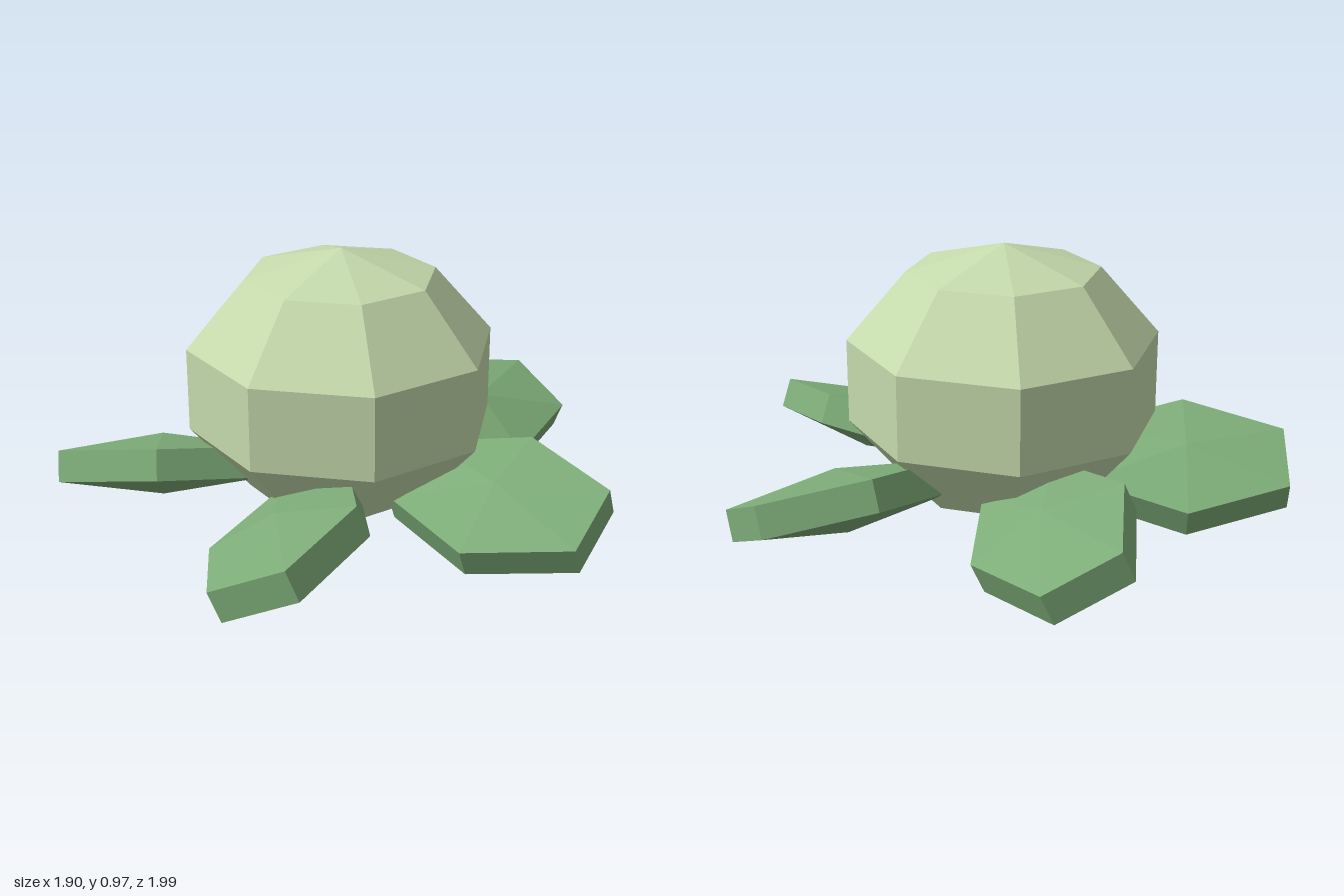
import * as THREE from 'three';

const CENTER_X = -0.055;
const LEAF_COUNT = 5;

export function createModel() {
  const model = new THREE.Group();
  model.name = 'plant';

  const headMaterial = new THREE.MeshStandardMaterial({ color: 0xc5daac, flatShading: true });
  const leafMaterial = new THREE.MeshStandardMaterial({ color: 0x7dac78, flatShading: true });

  // Faceted round head, slightly squashed
  const head = new THREE.Mesh(new THREE.SphereGeometry(0.573, 8, 5), headMaterial);
  head.name = 'head';
  head.scale.y = 0.84;
  head.position.set(CENTER_X, 0.484, 0);
  model.add(head);

  // Flattened hexagonal leaf, long axis along x
  const leafGeometry = new THREE.SphereGeometry(1, 6, 3);
  leafGeometry.scale(0.319, 0.11, 0.473);
  leafGeometry.rotateY(Math.PI / 2);

  // Ring of leaves, each rolled about its own long axis
  for (let i = 0; i < LEAF_COUNT; i++) {
    const arm = new THREE.Group();
    arm.name = `leafArm${i + 1}`;
    arm.position.set(CENTER_X, 0.163, 0);
    arm.rotation.y = (i / LEAF_COUNT) * Math.PI * 2;

    const leaf = new THREE.Mesh(leafGeometry, leafMaterial);
    leaf.name = `leaf${i + 1}`;
    leaf.position.x = 0.645;
    leaf.rotation.x = 0.42;
    arm.add(leaf);
    model.add(arm);
  }

  return model;
}
